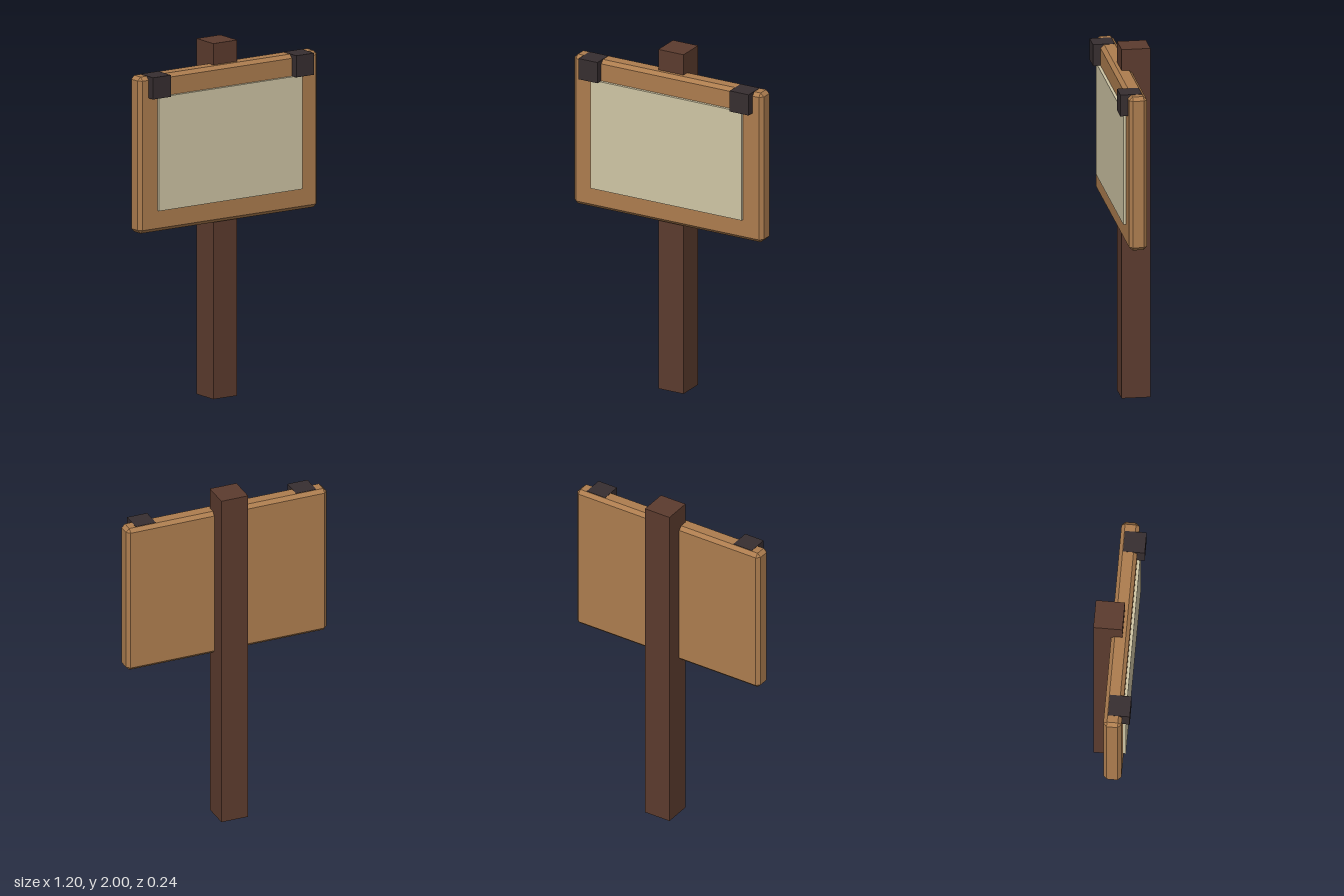
import * as THREE from 'three';
import { ConvexGeometry } from 'three/addons/geometries/ConvexGeometry.js';

const material = (name, color) => {
  const m = new THREE.MeshStandardMaterial({ color });
  m.name = name;
  return m;
};

// Box with every edge and corner cut by a single flat chamfer
function chamferedBox(w, h, d, c) {
  const points = [];
  for (const sx of [-1, 1]) for (const sy of [-1, 1]) for (const sz of [-1, 1]) {
    for (let full = 0; full < 3; full++) {
      const cut = (axis) => (axis === full ? 0 : c);
      points.push(new THREE.Vector3(sx * (w / 2 - cut(0)), sy * (h / 2 - cut(1)), sz * (d / 2 - cut(2))));
    }
  }
  return new ConvexGeometry(points);
}

export function createModel() {
  const postWood = material('darkWood', 0x5c3b2e);
  const boardWood = material('lightWood', 0xad7d4f);
  const paper = material('paper', 0xd0c6a5);
  const iron = material('darkIron', 0x372e30);

  const model = new THREE.Group();
  model.name = 'signpost';
  const add = (name, geometry, mat, x, y, z) => {
    const mesh = new THREE.Mesh(geometry, mat);
    mesh.name = name;
    mesh.position.set(x, y, z);
    model.add(mesh);
  };

  // Upright post, set behind the board
  add('post', new THREE.BoxGeometry(0.16, 2, 0.16), postWood, 0, 1, -0.04);

  // Chamfered board with a sheet on its face
  add('board', chamferedBox(1.2, 0.88, 0.1, 0.02), boardWood, 0, 1.44, 0.028);
  add('sheet', new THREE.BoxGeometry(0.96, 0.64, 0.02), paper, 0, 1.44, 0.084);

  // Brackets on the upper corners
  for (const [name, side] of [['leftBracket', 1], ['rightBracket', -1]]) {
    add(name, new THREE.BoxGeometry(0.12, 0.122, 0.12), iron, side * 0.48, 1.821, 0.06);
  }
  return model;
}
